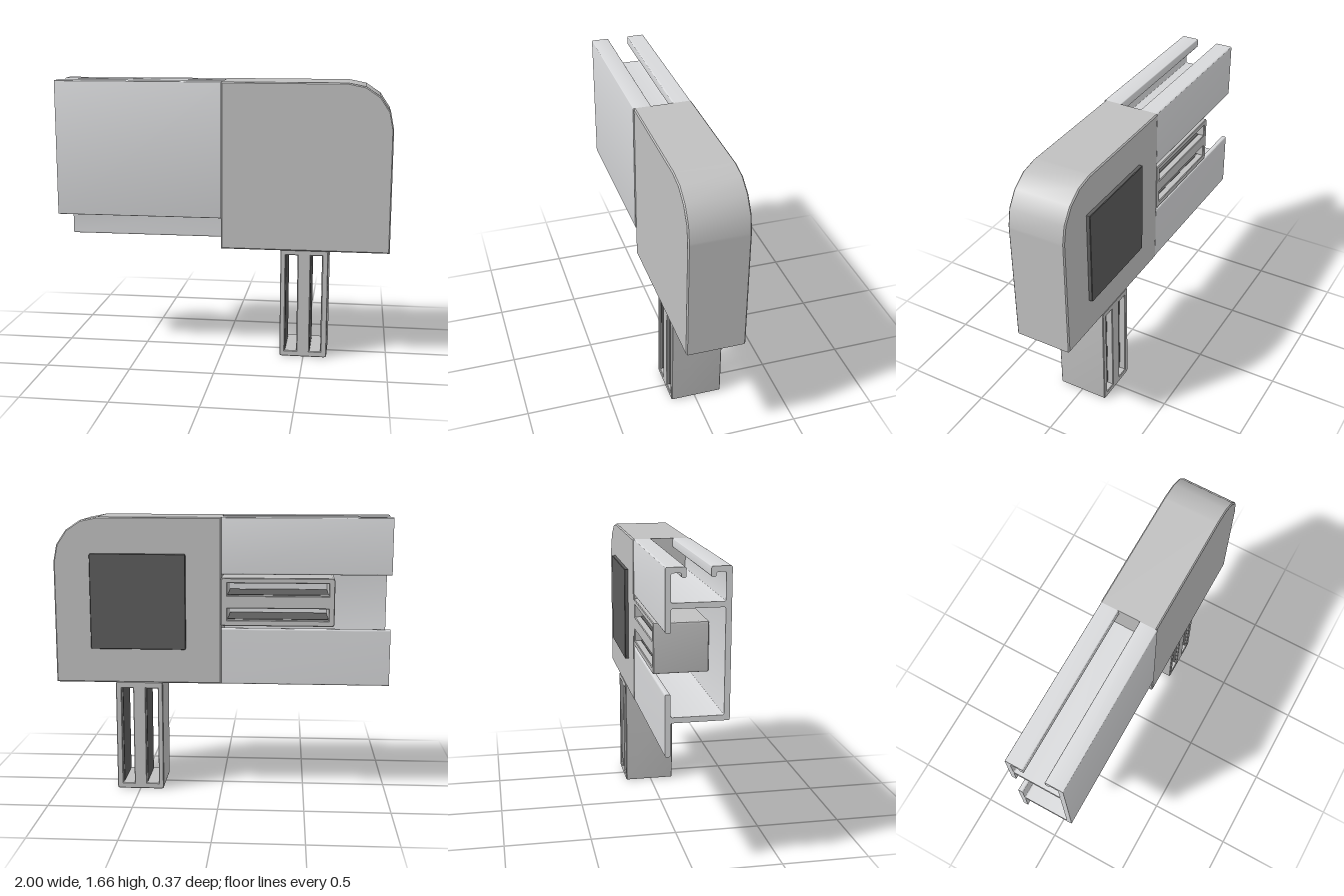
import * as THREE from 'three';
import { toCreasedNormals } from 'three/addons/utils/BufferGeometryUtils.js';

const material = (name, color) => Object.assign(new THREE.MeshStandardMaterial({ color }), { name });

// Closed polygon; r > 0 rounds every corner, with a short run-out that keeps the flats flat
function polygon(points, r = 0) {
  const pts = points.map(([x, y]) => new THREE.Vector2(x, y));
  const shape = new THREE.Shape();
  pts.forEach((p, i) => {
    const prev = pts[(i + pts.length - 1) % pts.length];
    const next = pts[(i + 1) % pts.length];
    const toward = (q, d) => p.clone().add(q.clone().sub(p).setLength(d));
    const line = (q) => (shape.curves.length || i > 0 ? shape.lineTo(q.x, q.y) : shape.moveTo(q.x, q.y));
    if (r === 0) {
      line(p);
      return;
    }
    const a = toward(prev, r);
    const b = toward(next, r);
    const out = toward(next, r * 1.15);
    line(toward(prev, r * 1.15));
    shape.lineTo(a.x, a.y);
    shape.quadraticCurveTo(p.x, p.y, b.x, b.y);
    shape.lineTo(out.x, out.y);
  });
  shape.closePath();
  return shape;
}

const rect = (x0, y0, x1, y1, r) => polygon([[x0, y0], [x1, y0], [x1, y1], [x0, y1]], r);

// Extrude between two z positions, with a slim chamfer inside the outline
function slab(shape, z0, z1, bevel, curveSegments = 2) {
  const geometry = new THREE.ExtrudeGeometry(shape, {
    depth: z1 - z0 - 2 * bevel, curveSegments, bevelEnabled: bevel > 0,
    bevelThickness: bevel, bevelSize: bevel, bevelOffset: -bevel, bevelSegments: 1,
  });
  geometry.translate(0, 0, z0 + bevel);
  return toCreasedNormals(geometry, 0.6);
}

export function createModel() {
  const model = new THREE.Group();
  const grey = material('grey plastic', 0xc0c0c0);
  const metal = material('pale metal', 0xd7d8da);
  const dark = material('dark pad', 0x5c5c5c);

  const add = (name, geometry, mat, parent = model) => {
    const mesh = new THREE.Mesh(geometry, mat);
    mesh.name = name;
    parent.add(mesh);
    return mesh;
  };

  // Corner block with one large rounded corner
  const body = new THREE.Shape();
  body.moveTo(0, 0.67);
  body.lineTo(1, 0.67);
  body.lineTo(1, 1.385);
  body.lineTo(1, 1.4);
  body.absarc(0.735, 1.4, 0.265, 0, Math.PI / 2, false);
  body.lineTo(0.72, 1.665);
  body.lineTo(0, 1.665);
  body.closePath();
  add('cornerBlock', slab(body, -0.163, 0.178, 0.007), grey);

  // Square pad on the back
  add('backPad', slab(rect(0.212, 0.88, 0.782, 1.45, 0.008), -0.185, -0.16, 0.003), dark);

  // Slotted plug hanging down from its root, with dark slot sides
  const slots = [[-0.112, -0.038], [0.038, 0.108]];
  const plugShape = rect(-0.143, -0.67, 0.143, 0.004, 0.014);
  for (const [x0, x1] of slots) plugShape.holes.push(rect(x0, -0.635, x1, -0.035));
  const plugGeometry = slab(plugShape, -0.163, 0.145, 0.004);
  const liningGeometry = new THREE.BoxGeometry(0.003, 0.598, 0.26);

  function addPlug(name, x, y, angle) {
    const plug = new THREE.Group();
    plug.name = name;
    plug.position.set(x, y, 0);
    plug.rotation.z = angle;
    model.add(plug);
    add('plugBody', plugGeometry, grey, plug);
    for (const [x0, x1] of slots) {
      for (const wall of [x0 + 0.001, x1 - 0.001]) {
        add('slotLining', liningGeometry, dark, plug).position.set(wall, -0.335, 0.005);
      }
    }
  }
  addPlug('lowerPlug', 0.498, 0.67, 0);
  addPlug('sidePlug', 0, 1.167, -Math.PI / 2);

  // Rail cross-section: first value runs towards the back, second is height
  const railShape = polygon([
    [0.16, 0.67], [0.16, 1.01], [0.13, 1.01], [0.13, 0.885], // lower back flange
    [-0.152, 0.885], [-0.152, 1.455], [0.13, 1.455], // inner chamber
    [0.13, 1.33], [0.16, 1.33], [0.16, 1.665], [0.052, 1.665], // upper back flange
    [0.052, 1.61], [0.077, 1.61], [0.077, 1.635], [0.13, 1.635], // back lip
    [0.13, 1.485], [-0.152, 1.485], [-0.152, 1.635], // top channel
    [-0.1, 1.635], [-0.1, 1.61], [-0.075, 1.61], [-0.075, 1.665], // front lip
    [-0.183, 1.665], [-0.183, 0.855], [0.13, 0.855], [0.13, 0.67], // front plate, floor
  ], 0.01);
  const rail = slab(railShape, -1, 0, 0, 4);
  rail.rotateY(Math.PI / 2);
  add('rail', rail, metal);

  return model;
}
